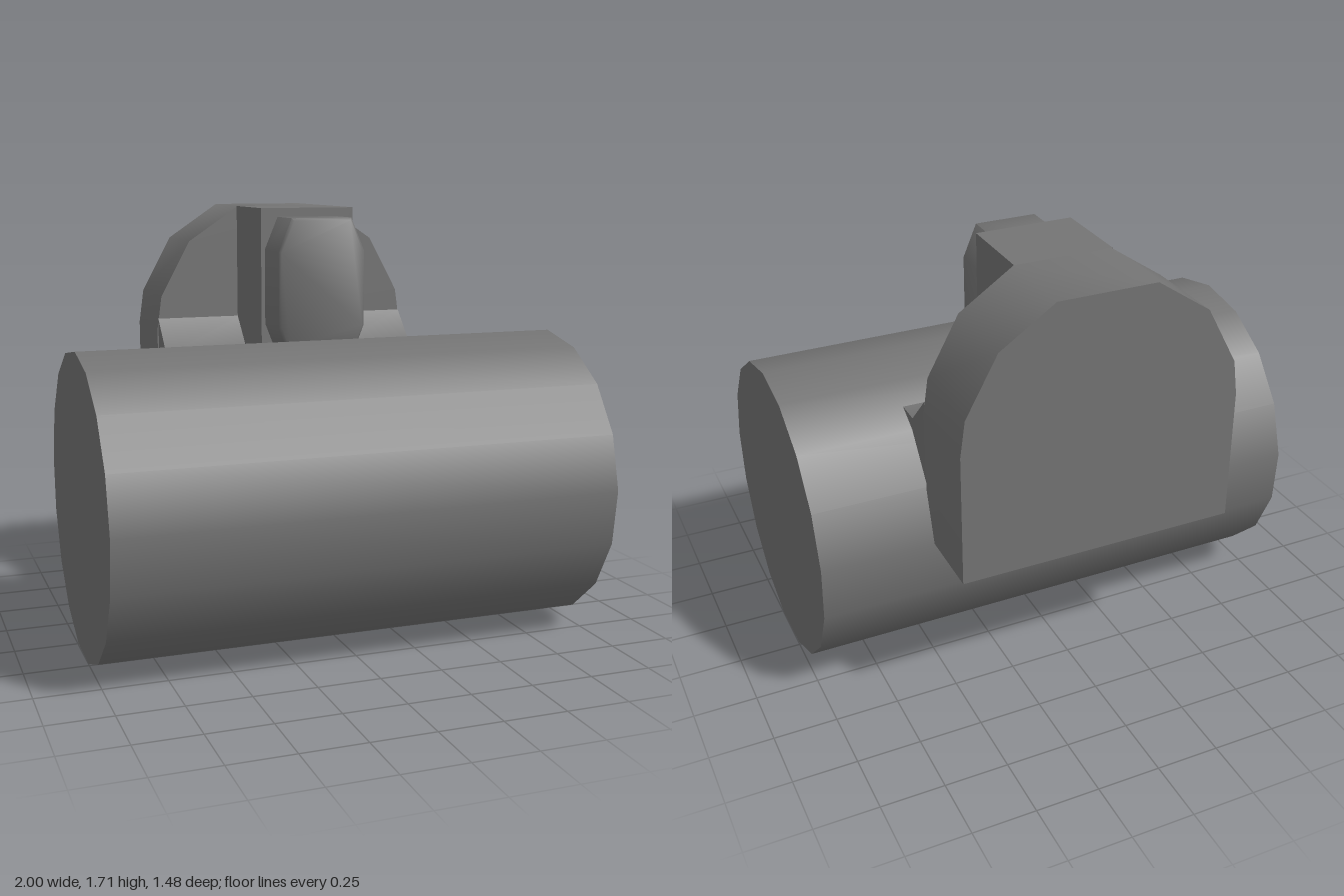
import * as THREE from 'three';
import { toCreasedNormals } from 'three/addons/utils/BufferGeometryUtils.js';

// Dark grey metal
const material = new THREE.MeshStandardMaterial({ color: 0x747474 });

// Extrudes an outline from z = 0 to z = depth, smooth below the crease angle.
function slab(points, depth, crease, bevel = 0) {
  const shape = new THREE.Shape(points.map(([x, y]) => new THREE.Vector2(x, y)));
  const geometry = new THREE.ExtrudeGeometry(shape, {
    depth: depth - bevel, bevelEnabled: bevel > 0, bevelSize: bevel,
    bevelThickness: bevel, bevelOffset: -bevel, bevelSegments: 1,
  });
  return toCreasedNormals(geometry, crease);
}

export function createModel() {
  const model = new THREE.Group();
  const add = (name, geometry, x = 0, y = 0, z = 0) => {
    const mesh = new THREE.Mesh(geometry, material);
    mesh.name = name;
    mesh.position.set(x, y, z);
    model.add(mesh);
  };

  // Long horizontal drum with 17 sides
  const drum = new THREE.CylinderGeometry(0.604, 0.604, 2, 17, 1, false, 0.06);
  drum.rotateZ(Math.PI / 2);
  add('drum', drum, 0, 0.597, 0.14);

  // Arched plate behind the drum
  const half = [[0.555, 0.67], [0.555, 1.2], [0.535, 1.34], [0.41, 1.57], [0.195, 1.715]];
  const arch = [...half, ...half.map(([x, y]) => [-x, y]).reverse()];
  add('backPlate', slab(arch, 0.345, 0.72), 0, 0, -0.74);

  // Central arm reaching forward over the drum
  add('arm', new THREE.BoxGeometry(0.395, 0.715, 0.34), -0.003, 1.3575, -0.226);

  // Ledges with a sloped fillet on both sides of the arm (outline is z, y)
  const ledgeOutline = [[0.42, 0.8], [0.397, 1.25], [0.26, 1.11], [0.16, 1.11]];
  for (const [name, x] of [['leftLedge', 0.185], ['rightLedge', -0.55]]) {
    const ledge = slab(ledgeOutline, 0.365, 0.9);
    ledge.rotateY(Math.PI / 2);
    add(name, ledge, x);
  }

  // Chamfered block on the front of the arm
  const block = [
    [-0.15, 1.16], [0.14, 1.16], [0.175, 1.25], [0.175, 1.55],
    [0.12, 1.68], [-0.13, 1.68], [-0.185, 1.55], [-0.185, 1.25],
  ];
  add('frontBlock', slab(block, 0.2, 1.2, 0.01), 0, 0, -0.07);

  return model;
}
